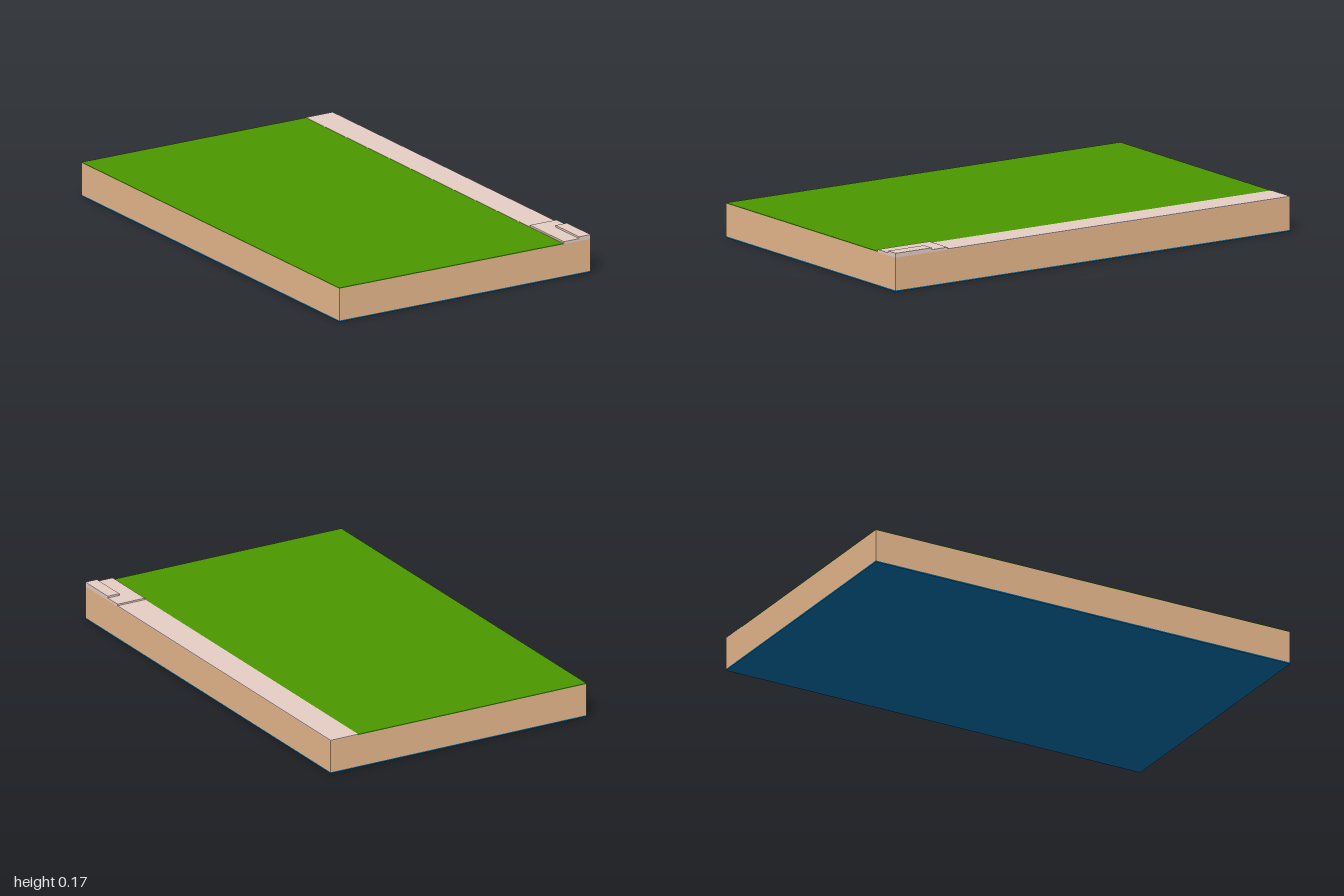
import * as THREE from 'three';

export function createModel() {
  const group = new THREE.Group();
  const mat = (name, color) => {
    const m = new THREE.MeshStandardMaterial({ color });
    m.name = name;
    return m;
  };
  const soil = mat('soil', 0xe8b98d);
  const grass = mat('grass', 0x4b9600);
  const stone = mat('stone', 0xe5cdc4);
  const water = mat('deepBlue', 0x00659c);

  // Box given by its minimum and maximum corners
  const slab = (name, material, [x0, y0, z0], [x1, y1, z1]) => {
    const geometry = new THREE.BoxGeometry(x1 - x0, y1 - y0, z1 - z0);
    const mesh = new THREE.Mesh(geometry, material);
    mesh.position.set((x0 + x1) / 2, (y0 + y1) / 2, (z0 + z1) / 2);
    mesh.name = name;
    group.add(mesh);
  };

  const X = 0.621, Z = 1, pathX = 0.487;
  // Ground block on its blue underside
  slab('underside', water, [-X, 0, -Z], [X, 0.006, Z]);
  slab('soilBlock', soil, [-X, 0.006, -Z], [X, 0.146, Z]);
  // Lawn, with the paved strip along the left edge
  slab('lawn', grass, [-X, 0.146, -Z], [pathX, 0.149, Z]);
  slab('path', stone, [pathX, 0.146, -Z], [X, 0.15, Z]);
  // Two low steps in the front left corner
  slab('lowerStep', stone, [0.489, 0.15, 0.737], [X, 0.157, Z]);
  slab('upperStep', stone, [0.565, 0.157, 0.817], [X, 0.165, Z]);

  return group;
}
